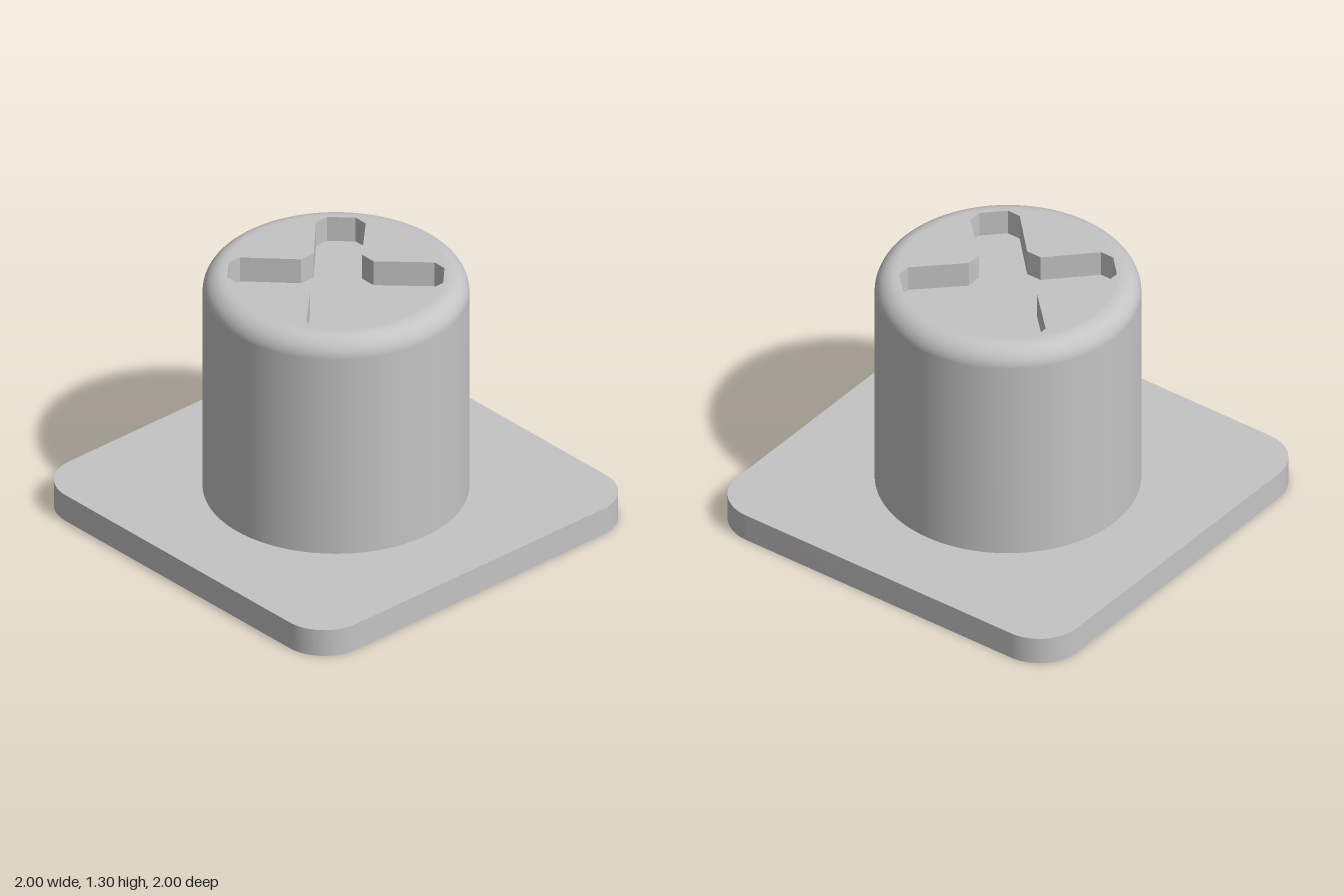
import * as THREE from 'three';
import { toCreasedNormals } from 'three/addons/utils/BufferGeometryUtils.js';

const BASE_H = 0.14, TOP = 1.3, RADIUS = 0.625, FILLET = 0.1, RECESS = 0.13, SEG = 96;

// Square outline with rounded corners
function roundedSquare(h, r) {
  const s = new THREE.Shape();
  const c = h - r;
  s.absarc(c, c, r, 0, Math.PI / 2);
  s.absarc(-c, c, r, Math.PI / 2, Math.PI);
  s.absarc(-c, -c, r, Math.PI, Math.PI * 1.5);
  s.absarc(c, -c, r, Math.PI * 1.5, Math.PI * 2);
  s.closePath();
  return s;
}

// Diagonal cross outline, one quadrant repeated by quarter turns
function crossPoints() {
  const quadrant = [[0.2, 0.04], [0.405, 0.24], [0.405, 0.31], [0.31, 0.405], [0.24, 0.405], [0.04, 0.2]];
  const points = [];
  for (let q = 0; q < 4; q++) {
    for (const [x, y] of quadrant) {
      points.push(new THREE.Vector2(x, y).rotateAround(new THREE.Vector2(), q * Math.PI / 2));
    }
  }
  return points;
}

// Inward-facing vertical walls along a counter-clockwise outline
function recessWalls(points, depth) {
  const pos = [];
  points.forEach((a, i) => {
    const b = points[(i + 1) % points.length];
    pos.push(a.x, a.y, 0, b.x, b.y, 0, b.x, b.y, -depth);
    pos.push(a.x, a.y, 0, b.x, b.y, -depth, a.x, a.y, -depth);
  });
  const g = new THREE.BufferGeometry();
  g.setAttribute('position', new THREE.Float32BufferAttribute(pos, 3));
  g.computeVertexNormals();
  return g;
}

export function createModel() {
  const group = new THREE.Group();
  const grey = new THREE.MeshStandardMaterial({ color: 0xc4c4c4 });
  grey.name = 'light grey';

  const add = (name, geometry, y) => {
    const mesh = new THREE.Mesh(geometry, grey);
    mesh.name = name;
    mesh.position.y = y;
    group.add(mesh);
  };
  const flat = (geometry) => geometry.rotateX(-Math.PI / 2);

  // Base plate
  const plate = new THREE.ExtrudeGeometry(roundedSquare(1, 0.22), {
    depth: BASE_H, bevelEnabled: false, curveSegments: 16,
  });
  add('basePlate', toCreasedNormals(flat(plate), 0.5), 0);

  // Post side with rounded upper edge
  const profile = [new THREE.Vector2(RADIUS, BASE_H)];
  for (let i = 0; i <= 12; i++) {
    const a = (i / 12) * Math.PI / 2;
    profile.push(new THREE.Vector2(
      RADIUS - FILLET + FILLET * Math.cos(a),
      TOP - FILLET + FILLET * Math.sin(a)));
  }
  add('post', new THREE.LatheGeometry(profile, SEG), 0);

  // Top face with the cross cut out
  const cross = crossPoints();
  const disc = new THREE.Shape().absarc(0, 0, RADIUS - FILLET, 0, Math.PI * 2);
  disc.holes.push(new THREE.Path(cross));
  add('postTop', flat(new THREE.ShapeGeometry(disc, SEG)), TOP);

  // Cross recess
  add('recessWalls', flat(recessWalls(cross, RECESS)), TOP);
  add('recessFloor', flat(new THREE.ShapeGeometry(new THREE.Shape(cross))), TOP - RECESS);

  return group;
}
